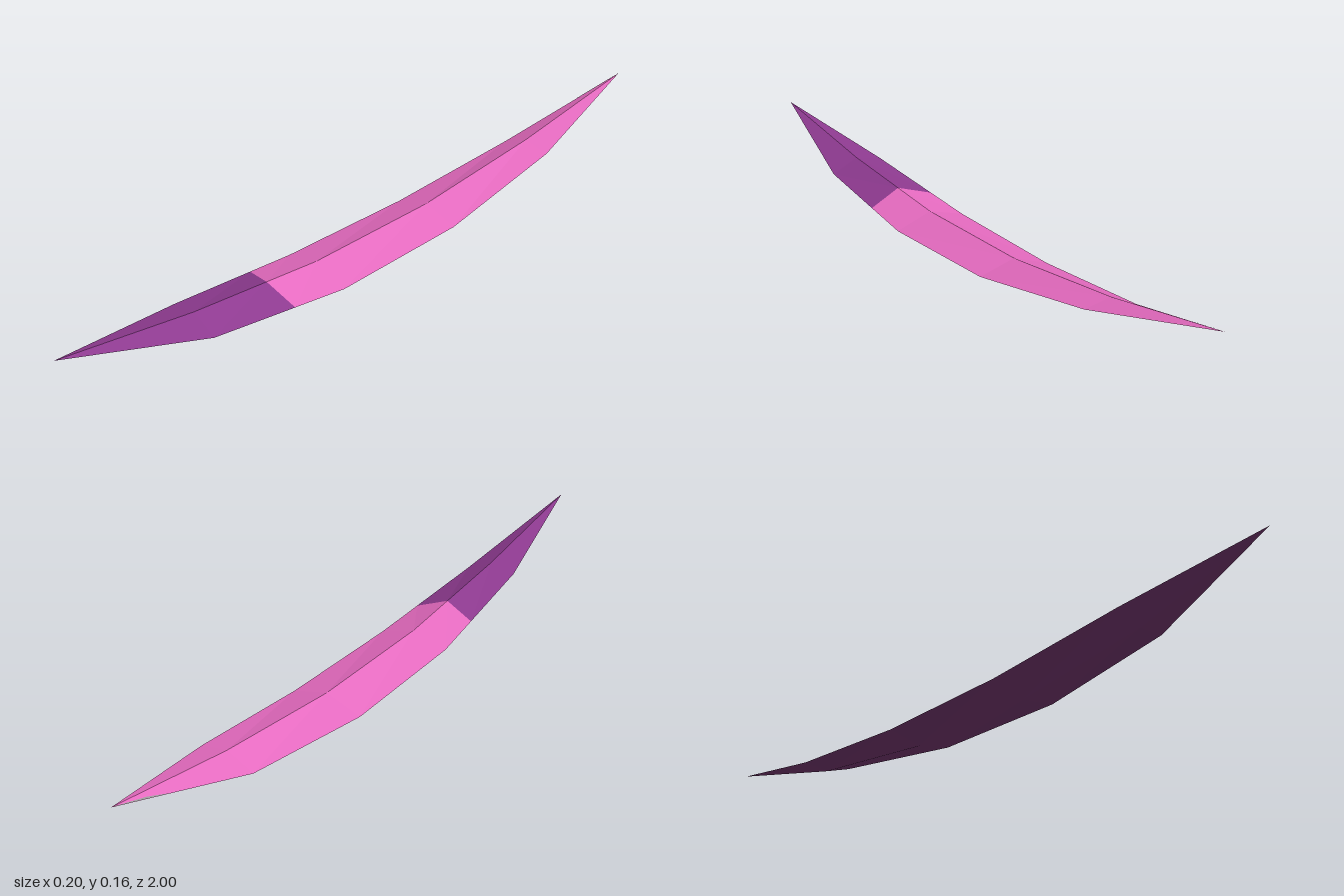
import * as THREE from 'three';

const mix = (a, b, t) => a.map((v, i) => THREE.MathUtils.lerp(v, b[i], t));

// Cross-sections along the blade: z, half width, keel y, ridge y, left edge (+x) y, right edge (-x) y
const stations = [
  [-1.0, 0, 0.155, 0.155, 0.155, 0.155],
  [-0.6, 0.077, 0.05, 0.092, 0.078, 0.055],
  [-0.2, 0.102, 0, 0.053, 0.025, 0.017],
  [0.2, 0.102, 0, 0.053, 0.017, 0.025],
  [0.6, 0.075, 0.05, 0.092, 0.055, 0.078],
  [1.0, 0, 0.155, 0.155, 0.155, 0.155],
].map(([z, w, keel, ridge, left, right]) => ({
  right: [-w, right, z],
  ridge: [0, ridge, z],
  left: [w, left, z],
  keel: [0, keel, z],
}));

// Slightly bowed line where the colour of the upper side changes
const split = {
  right: mix(stations[3].right, stations[4].right, 0.36),
  ridge: mix(stations[3].ridge, stations[4].ridge, 0.42),
  left: mix(stations[3].left, stations[4].left, 0.39),
};

function makeMesh(name, positions, material) {
  const geometry = new THREE.BufferGeometry();
  geometry.setAttribute('position', new THREE.Float32BufferAttribute(positions, 3));
  geometry.computeVertexNormals();
  const mesh = new THREE.Mesh(geometry, material);
  mesh.name = name;
  return mesh;
}

// Skins consecutive sections along a path of corner names
function skin(name, sections, path, material) {
  const positions = [];
  for (let s = 0; s < sections.length - 1; s++) {
    const a = sections[s];
    const b = sections[s + 1];
    for (let i = 0; i < path.length - 1; i++) {
      const p = path[i], q = path[i + 1];
      if (b.left[0] > 0) positions.push(...a[p], ...b[p], ...b[q]);
      if (a.left[0] > 0) positions.push(...a[p], ...b[q], ...a[q]);
    }
  }
  return makeMesh(name, positions, material);
}

// Thin sliver along the right edge at the rear point
function rearSliver(material) {
  const [end, next] = stations;
  const edge = mix(end.right, next.right, 0.4);
  const inner = mix(mix(end.right, next.right, 0.25), mix(end.ridge, next.ridge, 0.25), 0.25);
  const mesh = makeMesh('rearSliver', [...end.right, ...edge, ...inner], material);
  mesh.position.y = 0.001;
  return mesh;
}

export function createModel() {
  const material = (name, color) => {
    const m = new THREE.MeshStandardMaterial({ color, flatShading: true });
    m.name = name;
    return m;
  };
  const pink = material('pink', 0xe86cc2);
  const purple = material('purple', 0x8e3a90);
  const plum = material('plum', 0x7b3a76);
  const grey = material('grey', 0x9a9a9a);

  const upper = ['right', 'ridge', 'left'];
  const lower = ['left', 'keel', 'right'];

  const group = new THREE.Group();
  group.name = 'curvedBlade';
  group.add(
    skin('upperBody', [...stations.slice(0, 4), split], upper, pink),
    skin('upperTip', [split, ...stations.slice(4)], upper, purple),
    skin('underside', stations, lower, plum),
    rearSliver(grey),
  );
  return group;
}
